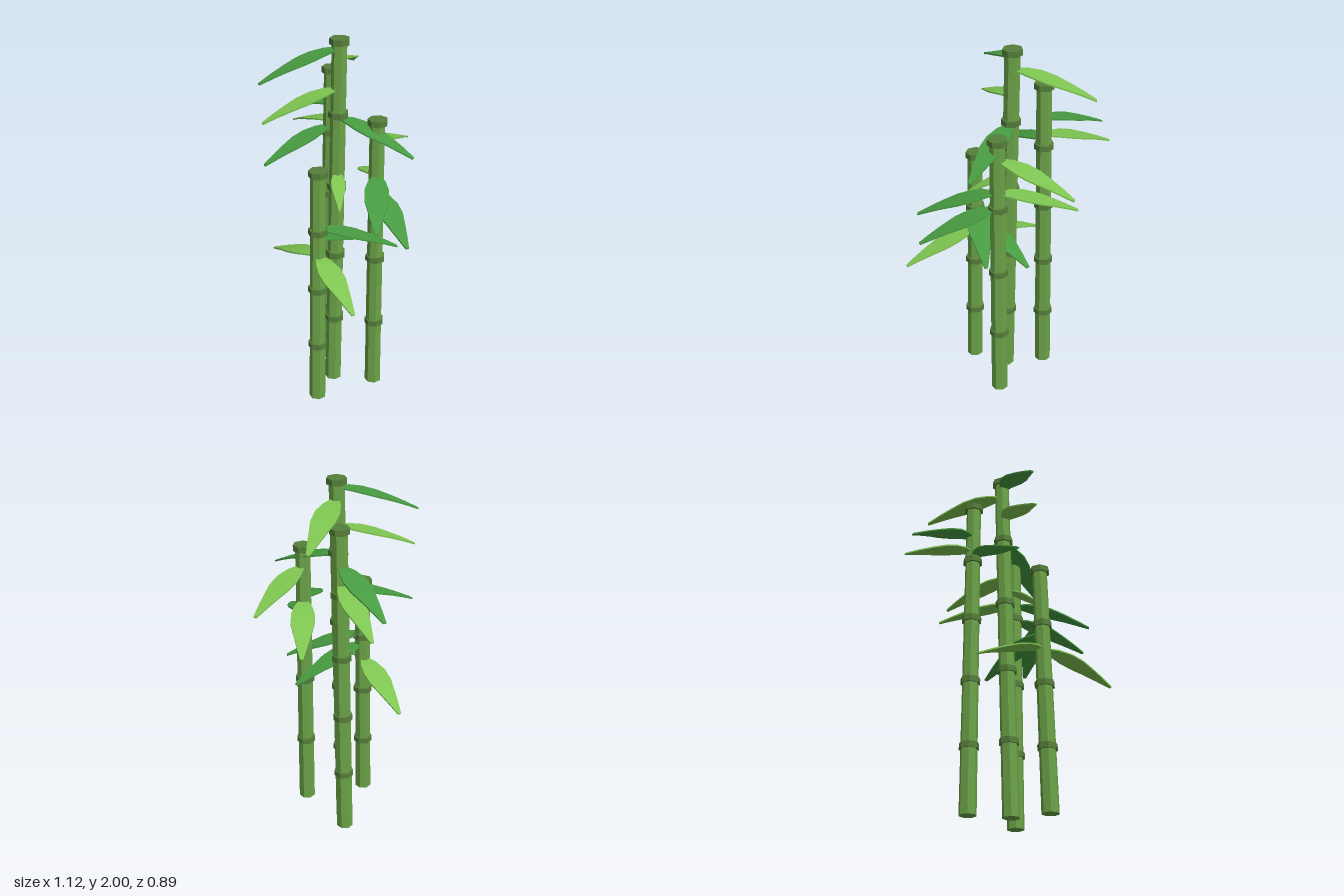
import * as THREE from 'three';

const mat = (color, flatShading) => new THREE.MeshStandardMaterial({ color, flatShading });

// Each stalk: base and top as [x, z], height, number of nodes,
// leaves as [root height, tip x, tip y, tip z, light?]
const STALKS = [
  { name: 'tallStalk', base: [-0.01, 0.09], top: [-0.005, 0.03], h: 2.0, nodes: 5, leaves: [
    [1.95, -0.215, 1.81, 0.4, 0], [1.89, -0.225, 1.75, -0.335, 1], [1.74, -0.195, 1.61, 0.405, 1],
    [1.585, 0.41, 1.44, 0.045 - 0.09, 0], [1.28, 0.16, 1.17, 0.23, 1]] },
  { name: 'rightStalk', base: [-0.18, -0.05], top: [-0.14, -0.065], h: 1.8, nodes: 5, leaves: [
    [1.595, -0.555, 1.455, -0.135, 0], [1.5, -0.54, 1.365, -0.2, 1], [1.475, -0.26, 1.34, 0.335, 0]] },
  { name: 'leftStalk', base: [0.185, -0.03], top: [0.19, -0.035], h: 1.6, nodes: 4, leaves: [
    [1.48, 0.076, 1.345, -0.44, 1], [1.29, 0.45, 1.155, 0.295, 0],
    [1.285, -0.135, 1.145, -0.31, 1], [1.2, 0.555, 1.07, 0.18, 0]] },
  { name: 'frontStalk', base: [0.045, 0.29], top: [0.04, 0.255], h: 1.37, nodes: 4, leaves: [
    [1.04, 0.315, 0.9, -0.06, 0], [0.98, 0.1, 0.84, -0.165, 0],
    [0.885, 0.42, 0.75, 0.435, 1], [0.885, -0.375, 0.745, 0.165, 1]] },
];

// Half width of a leaf along its length
const WIDTHS = [0.012, 0.045, 0.063, 0.062, 0.045, 0.028, 0.009];

// Thin drooping leaf: a flat box, tapered and bent from root to tip
function leafGeometry(root, tip) {
  const dx = tip.x - root.x, dz = tip.z - root.z;
  const len = Math.hypot(dx, dz), drop = root.y - tip.y;
  const n = WIDTHS.length - 1;
  const g = new THREE.BoxGeometry(1, 0.008, 2, n, 1, 1);
  const p = g.attributes.position;
  for (let i = 0; i < p.count; i++) {
    const t = p.getX(i) + 0.5;
    const w = WIDTHS[Math.round(t * n)] * len / 0.42;
    p.setXYZ(i, t * len, p.getY(i) - drop * Math.pow(t, 1.5), p.getZ(i) * w);
  }
  g.computeVertexNormals();
  g.rotateY(Math.atan2(-dz, dx));
  g.translate(root.x, root.y, root.z);
  return g;
}

export function createModel() {
  const model = new THREE.Group();
  model.name = 'bamboo';
  const stalkMat = mat(0x6ba348, true), nodeMat = mat(0x557f3a, true);
  const leafMats = [mat(0x489c42, false), mat(0x7fc652, false)];

  for (const s of STALKS) {
    const group = new THREE.Group();
    group.name = s.name;
    model.add(group);
    const add = (name, geometry, material) => {
      const m = new THREE.Mesh(geometry, material);
      m.name = name;
      group.add(m);
    };
    const axis = (y) => new THREE.Vector3(
      THREE.MathUtils.lerp(s.base[0], s.top[0], y / s.h), y,
      THREE.MathUtils.lerp(s.base[1], s.top[1], y / s.h));

    // Leaning, slightly tapered seven-sided cane
    const lean = new THREE.Matrix4().makeBasis(
      new THREE.Vector3(1, 0, 0), axis(s.h).sub(axis(0)).divideScalar(s.h),
      new THREE.Vector3(0, 0, 1)).setPosition(axis(0));
    const cane = new THREE.CylinderGeometry(0.041, 0.046, s.h - 0.01, 7);
    cane.translate(0, (s.h - 0.01) / 2, 0).applyMatrix4(lean);
    add('cane', cane, stalkMat);

    // Node rings, the last one capping the cane
    for (let i = 1; i <= s.nodes; i++) {
      const y = s.h * i / s.nodes - (i === s.nodes ? 0.016 : 0);
      const ring = new THREE.CylinderGeometry(0.053, 0.053, 0.032, 7);
      ring.translate(0, y, 0).applyMatrix4(lean);
      add('nodeRing', ring, nodeMat);
    }

    for (const [y, tx, ty, tz, light] of s.leaves)
      add('leaf', leafGeometry(axis(y), new THREE.Vector3(tx, ty, tz)), leafMats[light]);
  }
  return model;
}
